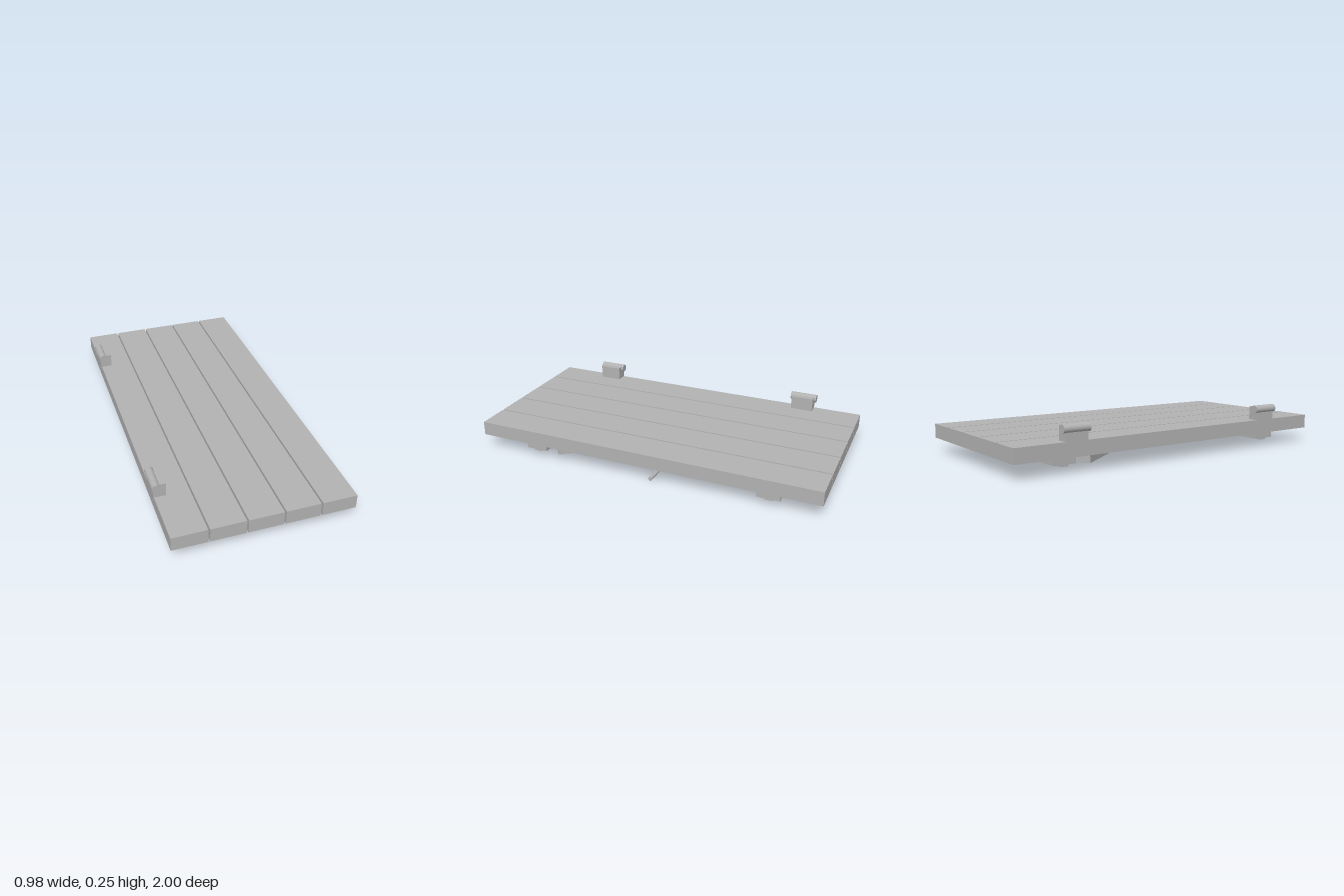
import * as THREE from 'three';

export function createModel() {
  const model = new THREE.Group();
  model.name = 'plankDoor';
  const grey = new THREE.MeshStandardMaterial({ color: 0xb2b2b2 });
  grey.name = 'plain grey';

  const add = (name, geometry, x, y, z) => {
    const mesh = new THREE.Mesh(geometry, grey);
    mesh.name = name;
    mesh.position.set(x, y, z);
    model.add(mesh);
    return mesh;
  };
  // Box given by its lower and upper limits on each axis
  const block = (name, [x0, x1], [y0, y1], [z0, z1]) =>
    add(name, new THREE.BoxGeometry(x1 - x0, y1 - y0, z1 - z0),
      (x0 + x1) / 2, (y0 + y1) / 2, (z0 + z1) / 2);

  // Five long planks with narrow gaps
  const pitch = 0.195, plankWidth = 0.186;
  for (let i = 0; i < 5; i++) {
    const x = 0.005 + (i - 2) * pitch;
    block('plank' + (i + 1), [x - plankWidth / 2, x + plankWidth / 2], [0.08, 0.159], [-1, 1]);
  }

  // Cross battens under the planks, each with a narrow ridge
  for (const [name, z] of [['front', 0.652], ['back', -0.718]]) {
    block(name + 'Batten', [-0.463, 0.474], [0.046, 0.093], [z - 0.063, z + 0.063]);
    block(name + 'BattenRidge', [-0.458, 0.469], [0.036, 0.05], [z - 0.021, z + 0.021]);
  }

  // Diagonal brace between the battens
  const brace = add('diagonalBrace', new THREE.BoxGeometry(0.1, 0.057, 1.424), 0.005, 0.0645, -0.0275);
  brace.rotation.y = 0.636;

  // Hinges: a block on the edge with a round knuckle
  for (const [name, z] of [['front', 0.641], ['back', -0.658]]) {
    block(name + 'HingeBlock', [-0.481, -0.415], [0.14, 0.235], [z - 0.064, z + 0.064]);
    const knuckle = new THREE.CylinderGeometry(0.023, 0.023, 0.154, 32).rotateX(Math.PI / 2);
    add(name + 'HingeKnuckle', knuckle, -0.467, 0.222, z);
  }

  // Small rod handle below the free edge
  const rod = new THREE.CylinderGeometry(0.011, 0.011, 0.107, 24).rotateZ(Math.PI / 2);
  add('handleRod', rod, 0.42, 0.011, -0.061);

  return model;
}
